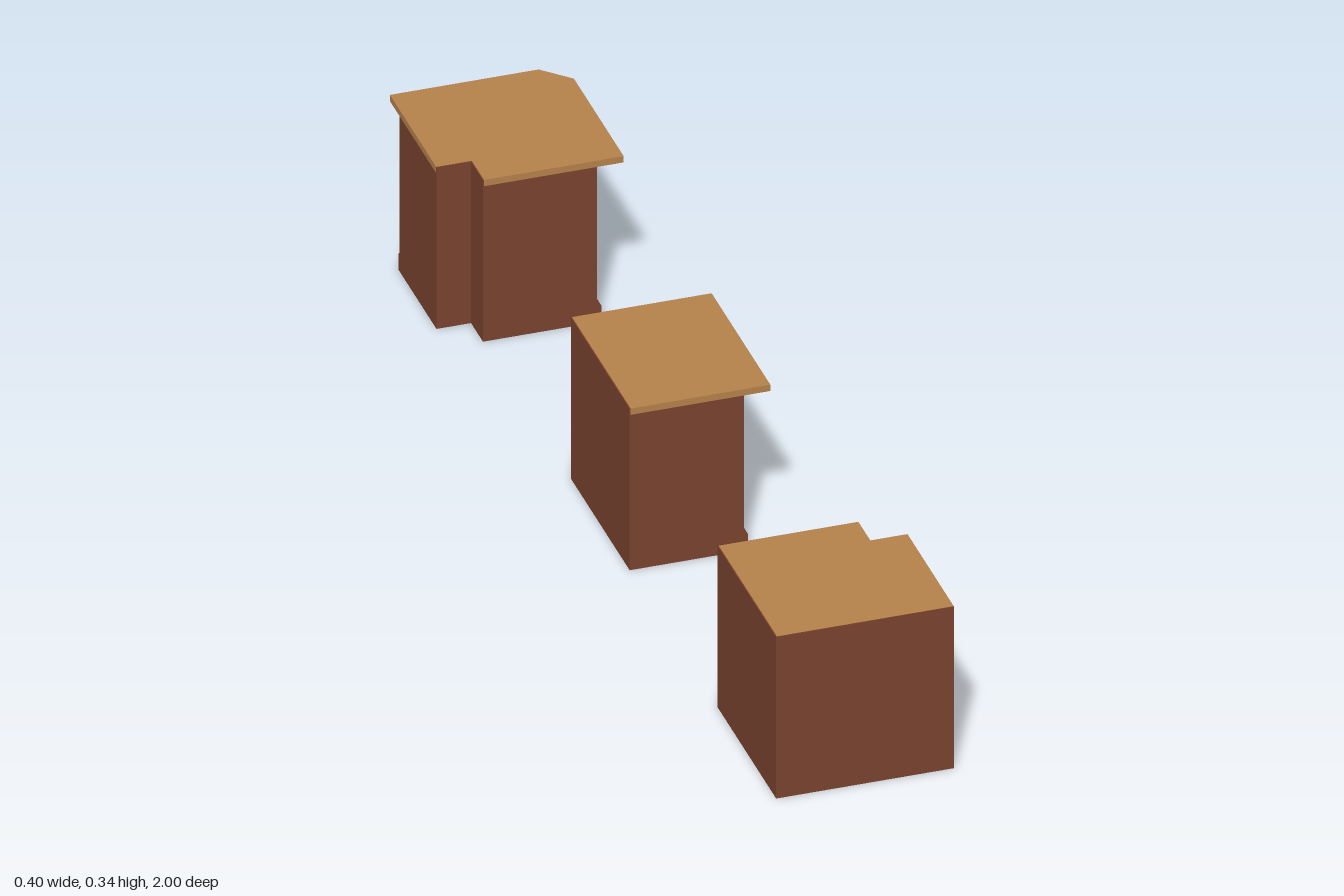
import * as THREE from 'three';

const wood = new THREE.MeshStandardMaterial({ color: 0x7a432e, flatShading: true });
const counterWood = new THREE.MeshStandardMaterial({ color: 0xb5814b, flatShading: true });

const TOP = 0.337, UNDER = 0.324;          // counter slab
const PANEL_LOW = 0.042, PANEL_HIGH = 0.307; // recessed panels
const DEPTH = 0.02, SKIRT = 0.008, LIP = 0.002;

function add(group, name, geometry, material) {
  const mesh = new THREE.Mesh(geometry, material);
  mesh.name = name;
  group.add(mesh);
}

// Upright prism over an outline of [x, z] points
function prism(outline, y0, y1) {
  const shape = new THREE.Shape(outline.map(([x, z]) => new THREE.Vector2(x, -z)));
  const g = new THREE.ExtrudeGeometry(shape, { depth: y1 - y0, bevelEnabled: false });
  return g.rotateX(-Math.PI / 2).translate(0, y0, 0);
}

// Skirting with a sloped top, swept between a wall path and its offset path
function skirting(wall, outer) {
  const rings = wall.map(([x, z], i) => {
    const [u, w] = outer[i];
    return [[x, 0, z], [u, 0, w], [u, 0.033, w], [x, 0.04, z]];
  });
  const pos = [];
  const quad = (a, b, c, d) => pos.push(...a, ...b, ...c, ...a, ...c, ...d);
  for (let i = 0; i + 1 < rings.length; i++) {
    for (let k = 0; k < 4; k++) {
      const n = (k + 1) % 4;
      quad(rings[i][k], rings[i + 1][k], rings[i + 1][n], rings[i][n]);
    }
  }
  quad(...rings[0]);
  quad(...[...rings[rings.length - 1]].reverse());
  const g = new THREE.BufferGeometry();
  g.setAttribute('position', new THREE.Float32BufferAttribute(pos, 3));
  g.computeVertexNormals();
  return g;
}

// Outline points of recesses in a wall facing +x, or facing -z
const recessX = (x, spans) => spans.flatMap(([a, b]) => [[x, a], [x - DEPTH, a], [x - DEPTH, b], [x, b]]);
const recessZ = (z, spans) => spans.flatMap(([a, b]) => [[a, z], [a, z + DEPTH], [b, z + DEPTH], [b, z]]);

// plain: body outline; recessed: the same with panel recesses;
// lips: back wall strips [x0, x1, z0, z1] that rise beside the slab
function cabinet(name, { plain, recessed, slab, wall, outer, lips }) {
  const g = new THREE.Group();
  g.name = name;
  add(g, 'lowerRail', prism(plain, 0, PANEL_LOW), wood);
  add(g, 'panelledBody', prism(recessed, PANEL_LOW, PANEL_HIGH), wood);
  add(g, 'upperRail', prism(plain, PANEL_HIGH, UNDER), wood);
  add(g, 'skirting', skirting(wall, outer), wood);
  add(g, 'counterTop', prism(slab, UNDER, TOP), counterWood);
  for (const [x0, x1, z0, z1] of lips) {
    add(g, 'backLip', prism([[x0, z0], [x0, z1], [x1, z1], [x1, z0]], UNDER, TOP), wood);
  }
  return g;
}

export function createModel() {
  const model = new THREE.Group();
  model.name = 'counterSet';
  const B = -0.135, F = 0.08, E = 0.13, S = 0.2; // back, body front, slab front, long side
  const H = 0.167;

  // Straight counter
  model.add(cabinet('straightCounter', {
    plain: [[B, -H], [B, H], [F, H], [F, -H]],
    recessed: [[B, -H], [B, H], [F, H], ...recessX(F, [[0.128, 0.011], [-0.011, -0.128]]), [F, -H]],
    slab: [[B + LIP, -H], [B + LIP, H], [E, H], [E, -H]],
    wall: [[F, H], [F, -H]],
    outer: [[F + SKIRT, H], [F + SKIRT, -H]],
    lips: [[B, B + LIP, -H, H]],
  }));

  // Inner corner counter, with one recess wrapping the inside corner
  const n = 0.667, w = 0.786;
  model.add(cabinet('innerCornerCounter', {
    plain: [[B, n], [B, 1], [S, 1], [S, w], [F, w], [F, n]],
    recessed: [[B, n], [B, 1], [S, 1], [S, w], [0.155, w], [0.155, w + DEPTH], [0.09, w + DEPTH],
      [F - DEPTH, 0.776], [F - DEPTH, 0.711], [F, 0.711], [F, n]],
    slab: [[B + LIP, n], [B + LIP, 1 - LIP], [S, 1 - LIP], [S, 0.735], [E, 0.735], [E, n]],
    wall: [[S, w], [F, w], [F, n]],
    outer: [[S, w - SKIRT], [F + SKIRT, w - SKIRT], [F + SKIRT, n]],
    lips: [[B, B + LIP, n, 1], [B + LIP, S, 1 - LIP, 1]],
  }));

  // Outer corner counter, with a clipped slab corner and a notch at the back
  const z = -0.944, k = -0.735;
  model.add(cabinet('outerCornerCounter', {
    plain: [[-S, z], [-S, k], [B, k], [B, -n], [F, -n], [F, z]],
    recessed: [[-S, k], [B, k], [B, -n], [F, -n],
      ...recessX(F, [[-0.706, -0.813], [-0.845, -0.904]]), [F, z],
      ...recessZ(z, [[0.04, -0.019], [-0.051, -0.158]]), [-S, z]],
    slab: [[-S, -1], [-S, k - LIP], [B + LIP, k - LIP], [B + LIP, -n], [E, -n], [E, -0.95], [F, -1]],
    wall: [[F, -n], [F, z], [-S, z]],
    outer: [[F + SKIRT, -n], [F + SKIRT, z - SKIRT], [-S, z - SKIRT]],
    lips: [[B, B + LIP, k - LIP, -n], [-S, B, k - LIP, k]],
  }));
  return model;
}
